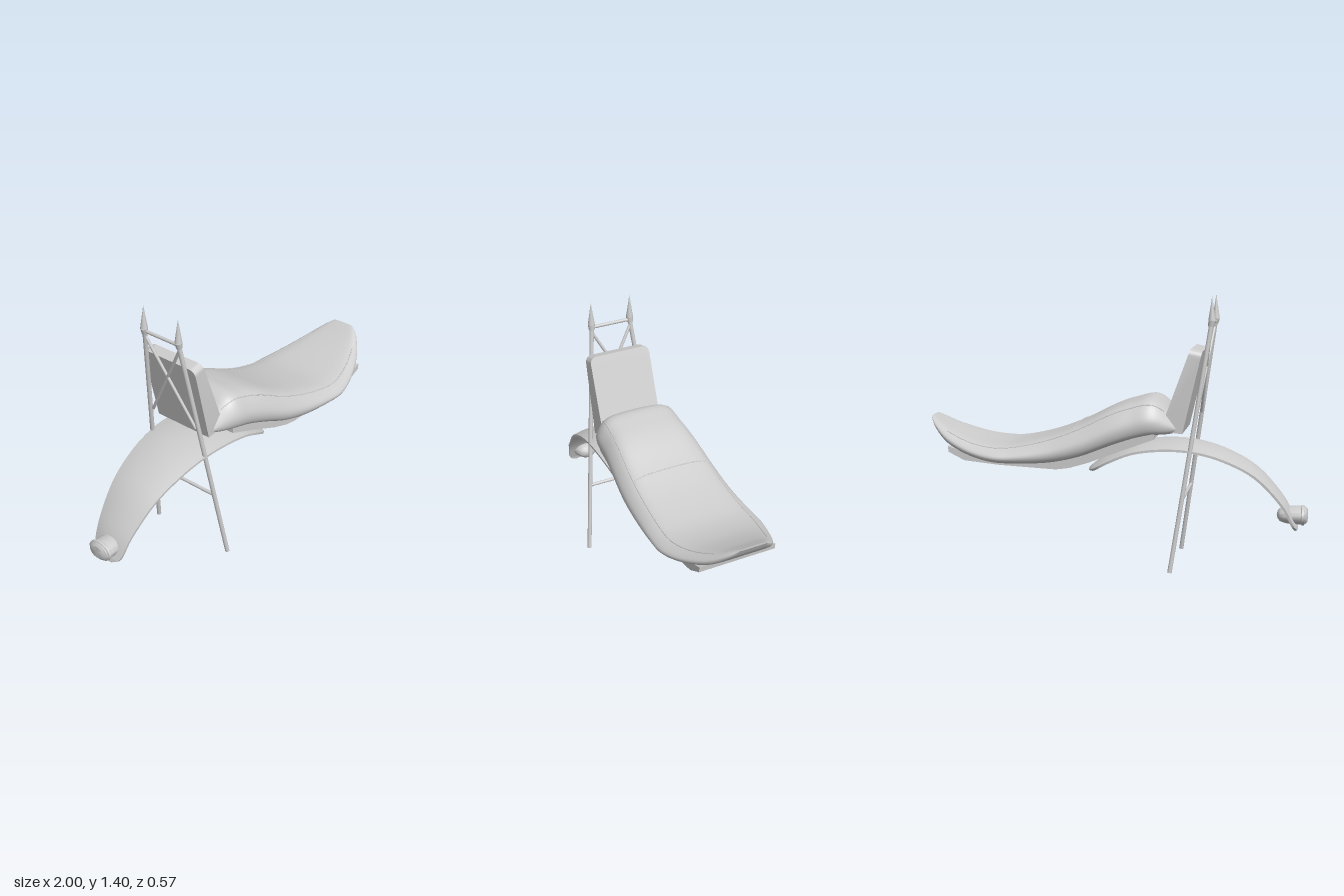
import * as THREE from 'three';
import { toCreasedNormals } from 'three/addons/utils/BufferGeometryUtils.js';

const grey = new THREE.MeshStandardMaterial({ color: 0xcccccc });
grey.name = 'light grey';
const V = (x, y, z) => new THREE.Vector3(x, y, z);

// Skins a list of closed rings (running top, +z, bottom, -z) and caps both ends
function loft(rings) {
  const n = rings[0].length, pos = [], idx = [];
  const push = (p) => pos.push(p.x, p.y, p.z) / 3 - 1;
  rings.forEach((r) => r.forEach(push));
  for (let i = 0; i < rings.length - 1; i++) {
    for (let j = 0; j < n; j++) {
      const k = (j + 1) % n, a = i * n + j, b = i * n + k;
      idx.push(a, b, a + n, b, b + n, a + n);
    }
  }
  [rings[0], rings[rings.length - 1]].forEach((r, end) => {
    const c = push(r.reduce((s, p) => s.add(p), V(0, 0, 0)).divideScalar(n));
    const first = r.map(push)[0];
    for (let j = 0; j < n; j++) {
      const a = first + j, b = first + (j + 1) % n;
      idx.push(c, end ? a : b, end ? b : a);
    }
  });
  const g = new THREE.BufferGeometry();
  g.setAttribute('position', new THREE.Float32BufferAttribute(pos, 3));
  g.setIndex(idx);
  g.computeVertexNormals();
  return g;
}

// Cushion stations: x, top, bottom, half width
const SEAT = [
  [-0.355, 0.735, 0.715, 0.155], [-0.28, 0.83, 0.70, 0.20], [-0.2, 0.885, 0.695, 0.235],
  [-0.1, 0.868, 0.673, 0.243], [0.01, 0.83, 0.637, 0.255], [0.17, 0.75, 0.578, 0.27],
  [0.33, 0.685, 0.545, 0.277], [0.5, 0.64, 0.538, 0.284], [0.62, 0.63, 0.542, 0.283],
  [0.75, 0.648, 0.568, 0.247], [0.88, 0.693, 0.62, 0.187], [0.965, 0.737, 0.692, 0.12],
  [1, 0.757, 0.745, 0.07],
];
const spline = (pts, closed = false) => new THREE.CatmullRomCurve3(pts, closed, 'catmullrom', 0.5);
const seatHeights = spline(SEAT.map((s) => V(s[0], s[1], s[2])));
const seatWidths = spline(SEAT.map((s) => V(s[0], s[3], 0)));

// Cushion cross-section, u across and v upward
const HALF = [[0.35, 0.99], [0.62, 0.95], [0.8, 0.84], [0.93, 0.62], [1, 0.38], [0.97, 0.15], [0.85, 0.03], [0.5, 0]];
const section = spline([
  V(0, 1, 0), ...HALF.map(([u, v]) => V(u, v, 0)), V(0, 0, 0),
  ...HALF.slice().reverse().map(([u, v]) => V(-u, v, 0)),
], true);

function seatPoint(t, u, v) {
  const h = seatHeights.getPoint(t), w = seatWidths.getPoint(t).y;
  return V(h.x, h.z + (h.y - h.z) * v, w * u);
}

function seatGeometry() {
  const rings = [];
  for (let i = 0; i <= 60; i++) {
    const ring = [];
    for (let j = 0; j < 54; j++) {
      const p = section.getPoint(j / 54);
      ring.push(seatPoint(i / 60, p.x, p.y));
    }
    rings.push(ring);
  }
  return loft(rings);
}

// Fender stations: x, y, half width
const FENDER = [
  [-0.945, 0.2, 0.045], [-0.932, 0.235, 0.09], [-0.875, 0.35, 0.114], [-0.74, 0.5, 0.146],
  [-0.58, 0.59, 0.172], [-0.42, 0.637, 0.19], [-0.26, 0.647, 0.2], [-0.1, 0.625, 0.2],
  [0.03, 0.57, 0.185], [0.11, 0.52, 0.15], [0.147, 0.49, 0.06],
];

function fenderGeometry() {
  const path = spline(FENDER.map(([x, y]) => V(x, y, 0)));
  const widths = spline(FENDER.map(([x, , w]) => V(x, w, 0)));
  const rings = [];
  for (let i = 0; i <= 50; i++) {
    const t = i / 50, p = path.getPoint(t), d = path.getTangent(t), w = widths.getPoint(t).y;
    const at = (s, sink) => {
      const o = -0.12 * w * s * s - sink;
      return V(p.x - d.y * o, p.y + d.x * o, w * s);
    };
    const ring = [];
    for (let j = -6; j <= 6; j++) ring.push(at(j / 6, -0.006));
    for (let j = 6; j >= -6; j--) ring.push(at(j / 6, 0.006));
    rings.push(ring);
  }
  return toCreasedNormals(loft(rings), 0.7);
}

// Padded backrest: rounded panel, leaned back and thicker at its foot
function backrestGeometry() {
  const w = 0.173, y0 = 0.72, y1 = 1.14, r = 0.04;
  const s = new THREE.Shape();
  s.moveTo(-w, y0);
  s.lineTo(w, y0);
  s.lineTo(w, y1 - r);
  s.quadraticCurveTo(w, y1, w - r, y1);
  s.lineTo(-w + r, y1);
  s.quadraticCurveTo(-w, y1, -w, y1 - r);
  const g = new THREE.ExtrudeGeometry(s, { depth: 1, bevelEnabled: false, curveSegments: 8 });
  g.rotateY(Math.PI / 2);
  const p = g.attributes.position;
  for (let i = 0; i < p.count; i++) {
    const d = p.getX(i), y = p.getY(i), k = (y - y0) / (y1 - y0);
    const back = THREE.MathUtils.lerp(-0.36, -0.457, k);
    const front = THREE.MathUtils.lerp(-0.245, -0.398, k);
    p.setXYZ(i, back + (front - back) * d, y - (1 - d) * 0.014, p.getZ(i));
  }
  return toCreasedNormals(g, 0.6);
}

// Seat pan: bent plate under the cushion
function panGeometry() {
  const s = new THREE.Shape([
    [-0.22, 0.68], [-0.05, 0.617], [0.12, 0.55], [0.22, 0.52], [0.29, 0.51], [0.4, 0.515], [0.6, 0.525],
    [0.78, 0.543], [0.865, 0.585], [0.868, 0.615], [0.77, 0.585], [0.6, 0.56], [0.3, 0.56], [0.17, 0.59], [-0.22, 0.72],
  ].map(([x, y]) => new THREE.Vector2(x, y)));
  const g = new THREE.ExtrudeGeometry(s, { depth: 0.42, bevelEnabled: false });
  g.translate(0, 0, -0.21);
  return toCreasedNormals(g, 0.4);
}

// Points on the leaning plane of the support frame
const frame = (y, z) => V(-0.31 - 0.148 * y, y, z);
const legZ = (y) => 0.25 - 0.109 * y;

export function createModel() {
  const model = new THREE.Group();
  const add = (name, geometry) => {
    const m = new THREE.Mesh(geometry, grey);
    m.name = name;
    model.add(m);
    return m;
  };
  const rod = (name, a, b, rTop, rBase = rTop) => {
    const m = add(name, new THREE.CylinderGeometry(rTop, rBase, a.distanceTo(b), 16));
    m.position.copy(a).lerp(b, 0.5);
    m.quaternion.setFromUnitVectors(V(0, 1, 0), b.clone().sub(a).normalize());
  };

  add('seatCushion', seatGeometry());
  add('seatPan', panGeometry());
  add('backrest', backrestGeometry());
  add('fender', fenderGeometry());

  // Stitched seams on the cushion
  const seam = (name, pts) => add(name, new THREE.TubeGeometry(spline(pts), 60, 0.003, 6));
  for (const side of [1, -1]) {
    const pts = [];
    for (let i = 0; i <= 30; i++) pts.push(seatPoint(0.1 + 0.74 * i / 30, 0.8 * side, 0.84));
    seam('sideSeam', pts);
  }
  const across = [[0.8, 0.84], [0.62, 0.95], [0.35, 0.99], [0, 1], [-0.35, 0.99], [-0.62, 0.95], [-0.8, 0.84]];
  seam('crossSeam', across.map(([u, v]) => seatPoint(5.16 / 12, u, v)));

  // Support frame with pointed finials and crossed braces
  for (const side of [1, -1]) {
    rod('supportLeg', frame(0, side * legZ(0)), frame(1.27, side * legZ(1.27)), 0.0115);
    rod('finialCollar', frame(1.25, side * 0.114), frame(1.28, side * 0.113), 0.019, 0.015);
    rod('finialPoint', frame(1.28, side * 0.113), V(-0.499, 1.4, side * 0.113), 0.0005, 0.019);
    rod('crossBrace', frame(1.24, side * 0.115), frame(0.78, side * -0.145), 0.008);
  }
  rod('upperCrossbar', frame(1.265, -0.112), frame(1.265, 0.112), 0.009);
  rod('lowerCrossbar', frame(0.375, -legZ(0.375)), frame(0.375, legZ(0.375)), 0.009);

  // Oval tail lamp passing through the fender
  const profile = [
    [0, 0], [0.034, 0.003], [0.044, 0.012], [0.044, 0.018], [0.051, 0.02], [0.052, 0.032],
    [0.048, 0.036], [0.047, 0.095], [0.041, 0.125], [0.034, 0.145], [0.02, 0.157], [0, 0.162],
  ].map(([r, h]) => new THREE.Vector2(r, h));
  const lamp = new THREE.LatheGeometry(profile, 32);
  lamp.rotateZ(-Math.PI / 2);
  lamp.scale(1, 1, 1.4);
  lamp.translate(-1, 0.271, 0);
  add('tailLamp', toCreasedNormals(lamp, 0.6));

  return model;
}
